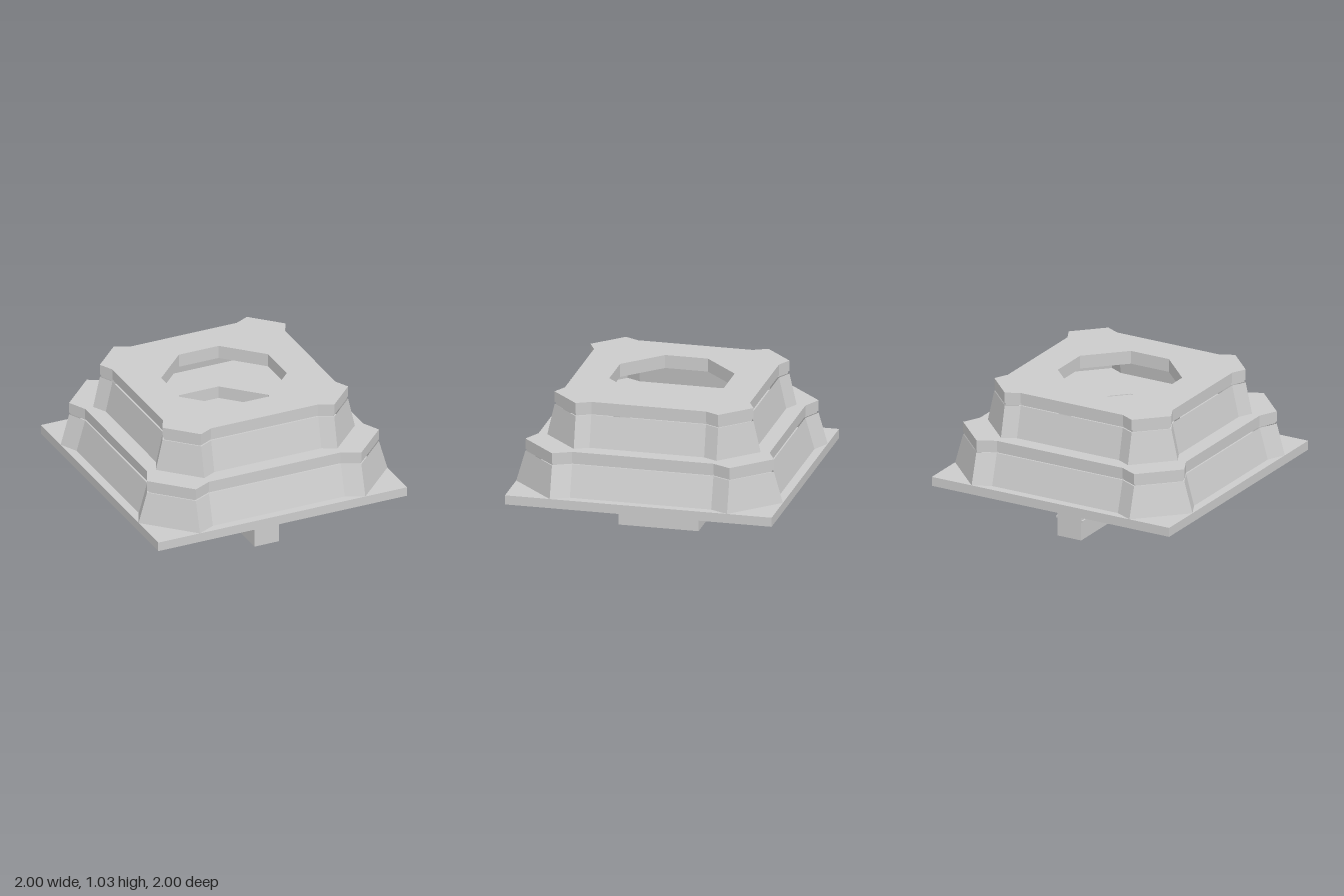
import * as THREE from 'three';

const material = new THREE.MeshStandardMaterial({ color: 0xcccccc, flatShading: true, side: THREE.DoubleSide });

// Repeats a quarter of an outline four times around the centre
function fourfold(quarter) {
  const points = [];
  for (let k = 0; k < 4; k++) {
    for (const [px, py] of quarter) {
      let x = px, y = py;
      for (let r = 0; r < k; r++) [x, y] = [-y, x];
      points.push(new THREE.Vector2(x, y));
    }
  }
  return points;
}

// Chamfered square whose corners stand proud of its sides
const tierOutline = ({ notch, corner, side, out }, inset) => fourfold([
  [side - inset, notch], [out - inset, corner], [corner, out - inset], [notch, side - inset],
]);
const octagon = () => fourfold([[0.43, 0.16], [0.16, 0.43]]);
const rect = (x0, x1, z0, z1) => [[x0, z0], [x1, z0], [x1, z1], [x0, z1]].map(([x, z]) => new THREE.Vector2(x, z));

function addMesh(group, name, geometry) {
  const mesh = new THREE.Mesh(geometry, material);
  mesh.name = name;
  group.add(mesh);
  return mesh;
}

// Horizontal slab from y0 to y1, with optional holes
function slab(outline, holes, y0, y1) {
  const shape = new THREE.Shape(outline);
  for (const hole of holes) shape.holes.push(new THREE.Path(hole));
  const geometry = new THREE.ExtrudeGeometry(shape, { depth: y1 - y0, bevelEnabled: false });
  return geometry.rotateX(-Math.PI / 2).translate(0, y0, 0);
}

// Open sloping wall between two outlines
function slopingWall(lower, upper, y0, y1) {
  const positions = [], n = lower.length;
  for (let i = 0; i < n; i++) {
    const j = (i + 1) % n;
    const a = [lower[i].x, y0, -lower[i].y], b = [lower[j].x, y0, -lower[j].y];
    const c = [upper[j].x, y1, -upper[j].y], d = [upper[i].x, y1, -upper[i].y];
    positions.push(...a, ...b, ...c, ...a, ...c, ...d);
  }
  const geometry = new THREE.BufferGeometry();
  geometry.setAttribute('position', new THREE.Float32BufferAttribute(positions, 3));
  geometry.computeVertexNormals();
  return geometry;
}

// Hollow tier: sloping wall, recessed groove and overhanging cap with an octagonal opening
function tier(name, plan, slope, y) {
  const group = new THREE.Group();
  group.name = name;
  addMesh(group, 'slopingWall', slopingWall(tierOutline(plan, 0), tierOutline(plan, slope), y[0], y[1]));
  addMesh(group, 'groove', slab(tierOutline(plan, slope + 0.012), [octagon()], y[1], y[2]));
  addMesh(group, 'cap', slab(tierOutline(plan, slope), [octagon()], y[2], y[3]));
  return group;
}

export function createModel() {
  const model = new THREE.Group();
  model.name = 'steppedPedestal';

  // Square base plate
  addMesh(model, 'basePlate', new THREE.BoxGeometry(2, 0.07, 2).translate(0, 0.335, 0));

  // Two hollow tiers
  model.add(tier('lowerTier', { notch: 0.53, corner: 0.665, side: 0.935, out: 1 }, 0.068, [0.37, 0.605, 0.62, 0.7]));
  model.add(tier('upperTier', { notch: 0.43, corner: 0.535, side: 0.748, out: 0.8 }, 0.054, [0.7, 0.935, 0.955, 1.035]));

  // Cross-shaped hanger below the plate, with two slots and a thin raised band
  const hanger = new THREE.Group();
  hanger.name = 'hanger';
  const cross = (e, end) => [
    [0.1 + e, -end], [0.1 + e, -0.3 - e], [0.4 + e, -0.3 - e], [0.4 + e, 0.3 + e], [0.1 + e, 0.3 + e], [0.1 + e, end],
    [-0.1 - e, end], [-0.1 - e, 0.3 + e], [-0.4 - e, 0.3 + e], [-0.4 - e, -0.3 - e], [-0.1 - e, -0.3 - e], [-0.1 - e, -end],
  ].map(([x, z]) => new THREE.Vector2(x, z));
  const slots = () => [rect(0.1, 0.2, -0.15, 0.15), rect(-0.2, -0.1, -0.15, 0.15)];
  addMesh(hanger, 'crossBlock', slab(cross(0, 0.73), slots(), 0, 0.2));
  addMesh(hanger, 'band', slab(cross(0.012, 0.729), slots(), 0.138, 0.153));

  // Posts and their mounting pads at both ends
  for (const s of [-1, 1]) {
    const end = s > 0 ? 'front' : 'back';
    addMesh(hanger, end + 'Post', new THREE.BoxGeometry(0.2, 0.1, 0.2).translate(0, 0.25, s * 0.63));
    addMesh(hanger, end + 'Pad', new THREE.BoxGeometry(0.4, 0.01, 0.27).translate(0, 0.302, s * 0.635));
  }
  model.add(hanger);
  return model;
}
